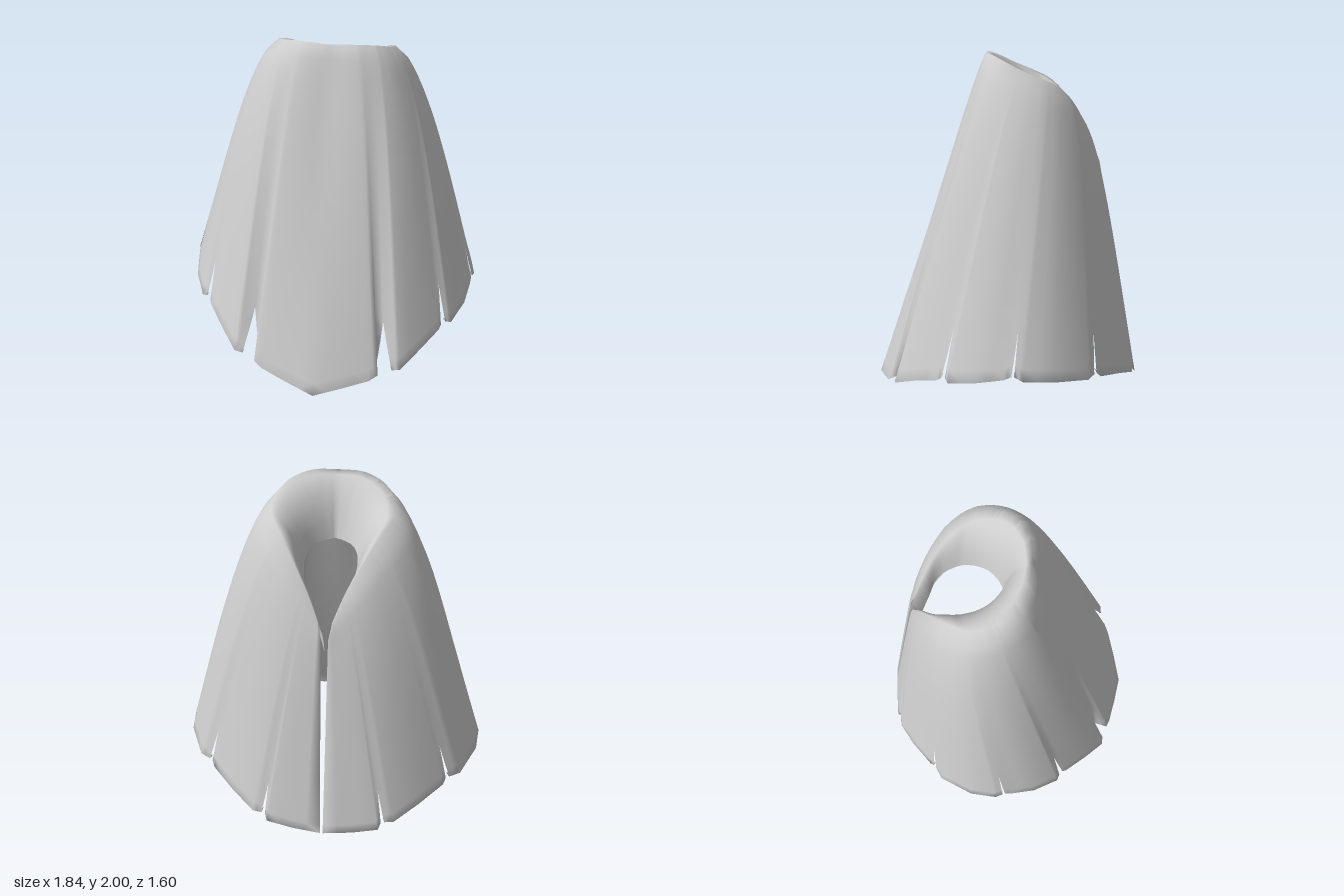
import * as THREE from 'three';
import { mergeVertices } from 'three/addons/utils/BufferGeometryUtils.js';

const V = (p) => new THREE.Vector3(...p);
const curve = (pts) => new THREE.CatmullRomCurve3(pts.map(V));

// Collar crest and its rolled-in inner edge, from the back slit to the front centre
const crest = curve([
  [0.02, 1.36, -0.56], [0.1, 1.54, -0.48], [0.2, 1.71, -0.39], [0.28, 1.82, -0.29], [0.33, 1.87, -0.19],
  [0.32, 1.92, -0.07], [0.26, 1.97, 0.03], [0.14, 2.0, 0.1], [0, 2.0, 0.12],
]);
const lip = curve([
  [0.006, 1.2, -0.52], [0.06, 1.36, -0.46], [0.12, 1.5, -0.4], [0.14, 1.58, -0.32], [0.145, 1.62, -0.25],
  [0.13, 1.64, -0.17], [0.1, 1.65, -0.11], [0.05, 1.65, -0.06], [0, 1.65, -0.03],
]);

// Hem of each flap, back to front; the flaps are separated by slashes
const flaps = [
  [[0.008, 0.1, -0.8], [0.18, 0.11, -0.785], [0.33, 0.13, -0.765], [0.345, 0.16, -0.74]],
  [[0.365, 0.17, -0.74], [0.42, 0.17, -0.73], [0.56, 0.23, -0.63], [0.7, 0.28, -0.5], [0.715, 0.31, -0.475]],
  [[0.735, 0.31, -0.46], [0.8, 0.31, -0.42], [0.9, 0.345, -0.22], [0.92, 0.36, -0.06], [0.905, 0.38, -0.015]],
  [[0.9, 0.38, 0.0], [0.895, 0.36, 0.04], [0.865, 0.33, 0.19], [0.79, 0.295, 0.34], [0.755, 0.31, 0.355]],
  [[0.73, 0.3, 0.375], [0.72, 0.28, 0.4], [0.62, 0.23, 0.53], [0.51, 0.165, 0.655], [0.46, 0.155, 0.66]],
  [[0.365, 0.16, 0.61], [0.38, 0.13, 0.69], [0.33, 0.1, 0.715], [0.17, 0.055, 0.76], [0, 0.005, 0.8]],
];
const ROWS = 25, ROLL = 6, SLASH = 0.84;

// One strip of points: rolled collar, outer wall, turned-in hem
function column({ hem, shared, u, fold }) {
  const top = crest.getPoint(u), inner = lip.getPoint(u), out = [];
  const ctrl = top.clone().lerp(inner, 0.65);
  ctrl.y = top.y - 0.03;
  const roll = new THREE.QuadraticBezierCurve3(inner, ctrl, top);
  for (let j = 0; j < ROLL; j++) out.push(roll.getPoint(j / ROLL));
  const radial = new THREE.Vector3(shared.x, 0, shared.z).normalize();
  for (let j = 0; j <= ROWS; j++) {
    const v = j / ROWS;
    const open = Math.max(0, (v - SLASH) / (1 - SLASH));
    const foot = shared.clone().lerp(hem, open);
    const p = top.clone().lerp(foot, v);
    p.addScaledVector(radial, 0.085 * Math.sin(Math.PI * u) * Math.sin(Math.PI * Math.sqrt(v)));
    if (fold) p.add(V([0.02, 0, 0.05]));
    out.push(p);
  }
  const edge = out[out.length - 1];
  out.push(new THREE.Vector3(edge.x * 0.975, edge.y + 0.02, edge.z * 0.975));
  return out;
}

// Subdivide the hem and place each point by its distance along the whole hem
function layoutColumns() {
  const panels = flaps.map((pts) => {
    const dense = [];
    pts.forEach((p, i) => {
      dense.push(V(p));
      if (i < pts.length - 1) dense.push(V(p).lerp(V(pts[i + 1]), 0.5));
    });
    return dense.map((hem) => ({ hem, shared: hem.clone() }));
  });
  const all = panels.flat();
  let dist = 0;
  all.forEach((c, i) => {
    if (i) dist += c.hem.distanceTo(all[i - 1].hem);
    c.u = dist;
  });
  all.forEach((c) => { c.u /= dist; });
  // Flaps join along a common line above each slash
  for (let k = 0; k < panels.length - 1; k++) {
    const a = panels[k][panels[k].length - 1], b = panels[k + 1][0];
    a.shared = a.hem.clone().lerp(b.hem, 0.5);
    b.shared = a.shared.clone();
    a.u = b.u = (a.u + b.u) / 2;
  }
  // Folded edge along the back slit
  panels[0].unshift({ ...panels[0][0], fold: true });
  return panels;
}

function cloakGeometry() {
  const pos = [], index = [];
  for (const side of [1, -1]) {
    for (const panel of layoutColumns()) {
      const cols = panel.map(column), n = cols[0].length, base = pos.length / 3;
      cols.forEach((col) => col.forEach((p) => pos.push(side * p.x, p.y, p.z)));
      for (let i = 0; i < cols.length - 1; i++) {
        for (let j = 0; j < n - 1; j++) {
          const a = base + i * n + j, b = a + n, c = a + 1, d = b + 1;
          if (side > 0) index.push(a, b, c, b, d, c);
          else index.push(a, c, b, b, c, d);
        }
      }
    }
  }
  let geo = new THREE.BufferGeometry();
  geo.setAttribute('position', new THREE.Float32BufferAttribute(pos, 3));
  geo.setIndex(index);
  geo = mergeVertices(geo, 1e-4);
  geo.computeVertexNormals();
  return geo;
}

export function createModel() {
  const group = new THREE.Group();
  group.name = 'cloak';
  const cloth = new THREE.MeshStandardMaterial({ color: 0xcccccc, side: THREE.DoubleSide });
  cloth.name = 'light grey cloth';
  const mesh = new THREE.Mesh(cloakGeometry(), cloth);
  mesh.name = 'cloakShell';
  group.add(mesh);
  return group;
}
